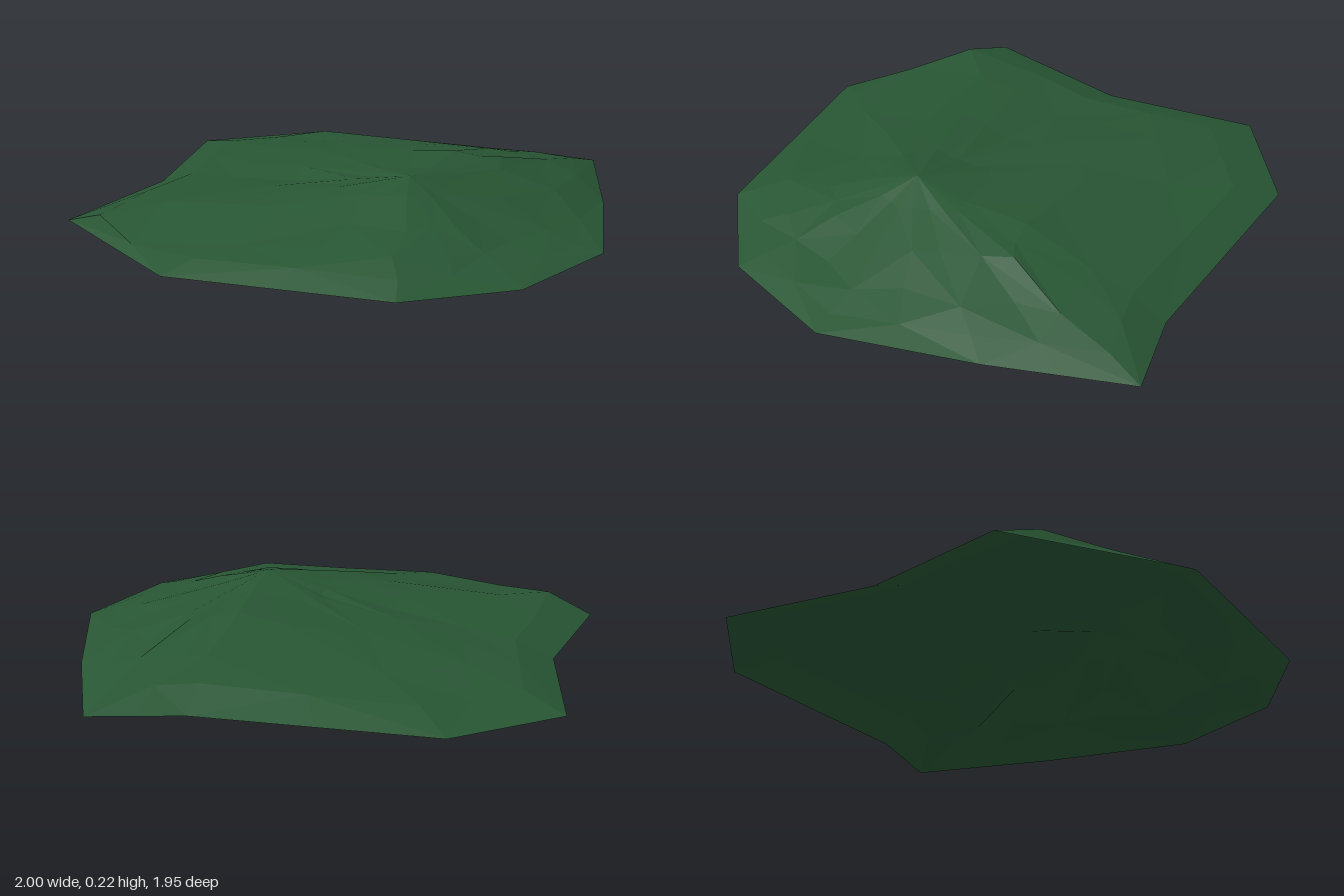
import * as THREE from 'three';

// Outline corners on the ground [x, z], then heights on four rings from peak to rim
const SPOKES = [
  [-1.0, -0.63, 0.165, 0.125, 0.085, 0.045],
  [-0.62, -0.93, 0.175, 0.135, 0.09, 0.055],
  [0.3, -0.9, 0.195, 0.185, 0.125, 0.075],
  [0.65, -0.98, 0.185, 0.165, 0.1, 0.05],
  [0.84, -0.44, 0.18, 0.13, 0.085, 0.04],
  [1.0, 0.15, 0.17, 0.11, 0.055, 0.025],
  [0.84, 0.62, 0.17, 0.115, 0.065, 0.03],
  [0.48, 0.9, 0.185, 0.12, 0.085, 0.05],
  [-0.38, 0.97, 0.175, 0.125, 0.075, 0.04],
  [-1.0, 0.55, 0.165, 0.12, 0.09, 0.065],
  [-0.9, -0.03, 0.165, 0.12, 0.085, 0.06],
];
const PEAK = [0.26, 0.22, 0.19];
const RINGS = [0.2, 0.45, 0.7, 0.87, 1];

function seeded(seed) {
  return () => {
    seed = (seed * 16807) % 2147483647;
    return seed / 2147483647 - 0.5;
  };
}

function moundGeometry() {
  const rand = seeded(71);
  // Add a spoke halfway along each side of the outline
  const spokes = [];
  SPOKES.forEach((s, i) => {
    const next = SPOKES[(i + 1) % SPOKES.length];
    spokes.push(s, s.map((v, k) => (v + next[k]) / 2));
  });
  const n = spokes.length;

  // Rings of points, slightly uneven inside and exact on the rim
  const positions = [...PEAK];
  RINGS.forEach((t, r) => {
    spokes.forEach((s) => {
      const rim = t === 1;
      const jitter = rim || r === 3 ? 0 : 0.07 * t;
      positions.push(
        PEAK[0] + (s[0] - PEAK[0]) * t + rand() * jitter,
        rim ? 0 : s[2 + r] + rand() * 0.012,
        PEAK[2] + (s[1] - PEAK[2]) * t + rand() * jitter
      );
    });
  });

  // Steep bank close to the front edge
  const at = (ring, spoke) => 1 + ring * n + (spoke % n);
  const place = (i, p) => p.forEach((v, k) => { positions[i * 3 + k] = v; });
  place(at(3, 18), [-0.82, 0.065, 0.62]);
  place(at(3, 17), [-0.6, 0.032, 0.78]);

  const index = [];
  for (let s = 0; s < n; s++) {
    index.push(0, at(0, s + 1), at(0, s));
    for (let r = 0; r < RINGS.length - 1; r++) {
      const a = at(r, s), b = at(r, s + 1), c = at(r + 1, s), d = at(r + 1, s + 1);
      if ((s + r) % 2) index.push(a, b, c, b, d, c);
      else index.push(a, d, c, a, b, d);
    }
  }
  const geometry = new THREE.BufferGeometry();
  geometry.setAttribute('position', new THREE.Float32BufferAttribute(positions, 3));
  geometry.setIndex(index);
  const flat = geometry.toNonIndexed();
  flat.computeVertexNormals();
  return flat;
}

export function createModel() {
  const group = new THREE.Group();
  group.name = 'grassyMound';
  const grass = new THREE.MeshStandardMaterial({
    color: 0x285634, flatShading: true, side: THREE.DoubleSide,
  });
  grass.name = 'dark grass green';
  const mound = new THREE.Mesh(moundGeometry(), grass);
  mound.name = 'mound';
  group.add(mound);
  return group;
}
